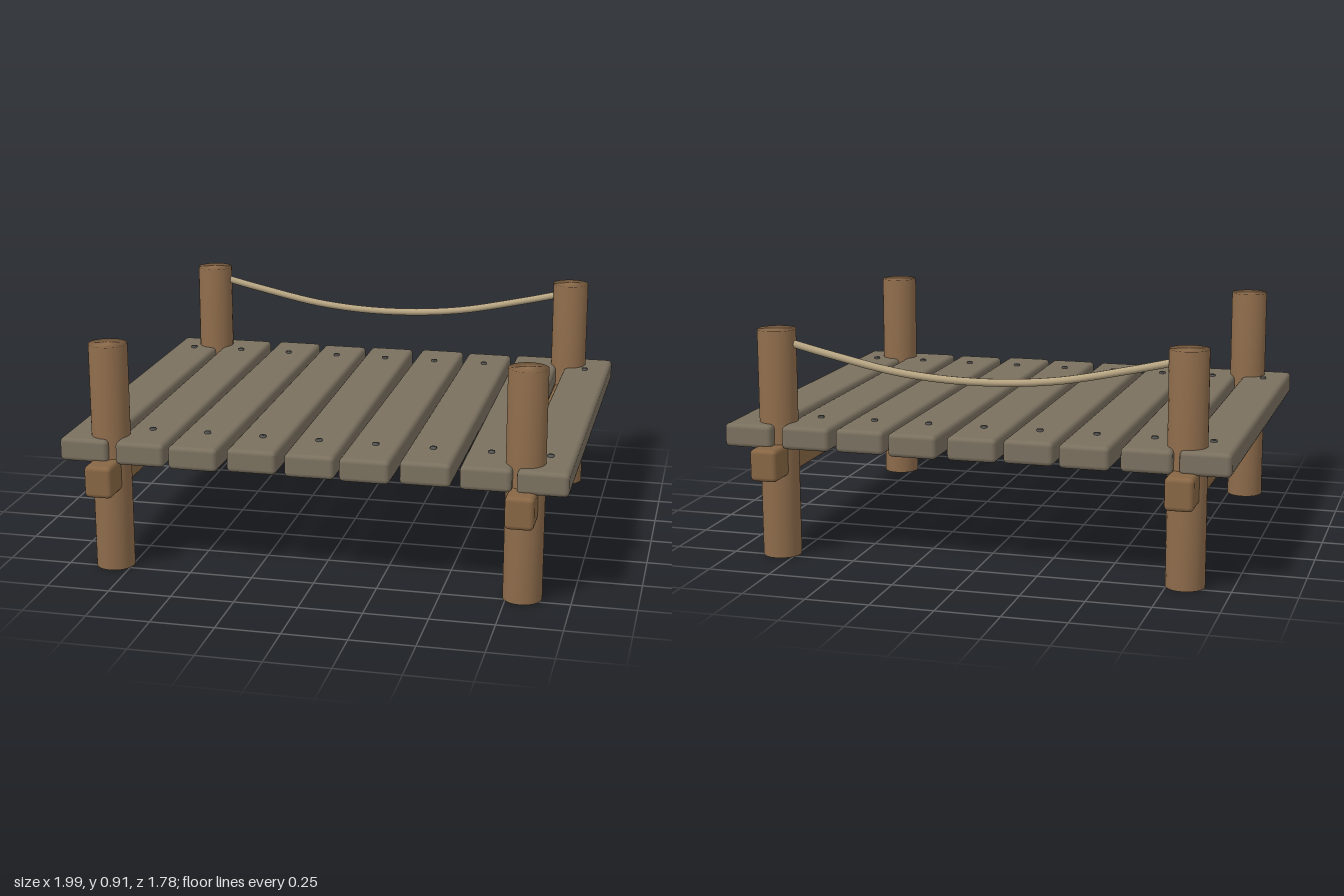
import * as THREE from 'three';
import { RoundedBoxGeometry } from 'three/addons/geometries/RoundedBoxGeometry.js';
import { mergeVertices } from 'three/addons/utils/BufferGeometryUtils.js';

const paint = (color) => new THREE.MeshStandardMaterial({ color });
const POST_X = 0.815, POST_Z = 0.717, OFFSET_X = -0.004;

// Cylinder whose normals blend across its rims
function softCylinder(radius, height, sides) {
  const g = new THREE.CylinderGeometry(radius, radius, height, sides);
  g.deleteAttribute('normal');
  g.deleteAttribute('uv');
  const merged = mergeVertices(g);
  merged.computeVertexNormals();
  return merged;
}

export function createModel() {
  const dock = new THREE.Group();
  dock.name = 'dock';
  const plankPaint = paint(0x7a705f), postPaint = paint(0x8f6d4c);
  const beamPaint = paint(0x876644), ropePaint = paint(0xb8a683), nailPaint = paint(0x5a5a58);

  const add = (name, geometry, material, x, y, z, parent = dock) => {
    const mesh = new THREE.Mesh(geometry, material);
    mesh.name = name;
    mesh.position.set(x, y, z);
    parent.add(mesh);
    return mesh;
  };

  // Deck planks, slightly uneven in length and angle, each with two nails
  const nail = softCylinder(0.013, 0.02, 10);
  for (let i = 0; i < 9; i++) {
    const plank = new THREE.Group();
    plank.name = 'plank' + (i + 1);
    plank.position.set(OFFSET_X + (i - 4) * 0.2243, 0, 0);
    dock.add(plank);
    const length = [1.626, 1.642, 1.658][i % 3];
    const board = add('board', new RoundedBoxGeometry(0.195, 0.093, length, 2, 0.018),
      plankPaint, 0, 0.496, 0, plank);
    board.rotation.y = [0, 0.006, -0.006][i % 3];
    for (const z of [-0.629, 0.629]) add('nail', nail, nailPaint, 0, 0.54, z, plank);
  }

  // Corner posts and the beam joining each side pair
  const post = softCylinder(0.076, 0.908, 24);
  const beam = new RoundedBoxGeometry(0.11, 0.128, 1.784, 2, 0.018);
  for (const side of [-1, 1]) {
    const x = OFFSET_X + side * POST_X;
    for (const end of [-1, 1]) add('post', post, postPaint, x, 0.454, end * POST_Z);
    add('beam', beam, beamPaint, x, 0.396, 0);
  }

  // Rope sagging between the back posts
  const sag = [[-0.815, 0.868], [-0.6, 0.817], [-0.3, 0.758], [0, 0.739],
    [0.3, 0.758], [0.6, 0.817], [0.815, 0.868]];
  const path = new THREE.CatmullRomCurve3(sag.map(([x, y]) => new THREE.Vector3(x, y, 0)));
  add('rope', new THREE.TubeGeometry(path, 40, 0.015, 10), ropePaint, OFFSET_X, 0, -POST_Z);

  return dock;
}
